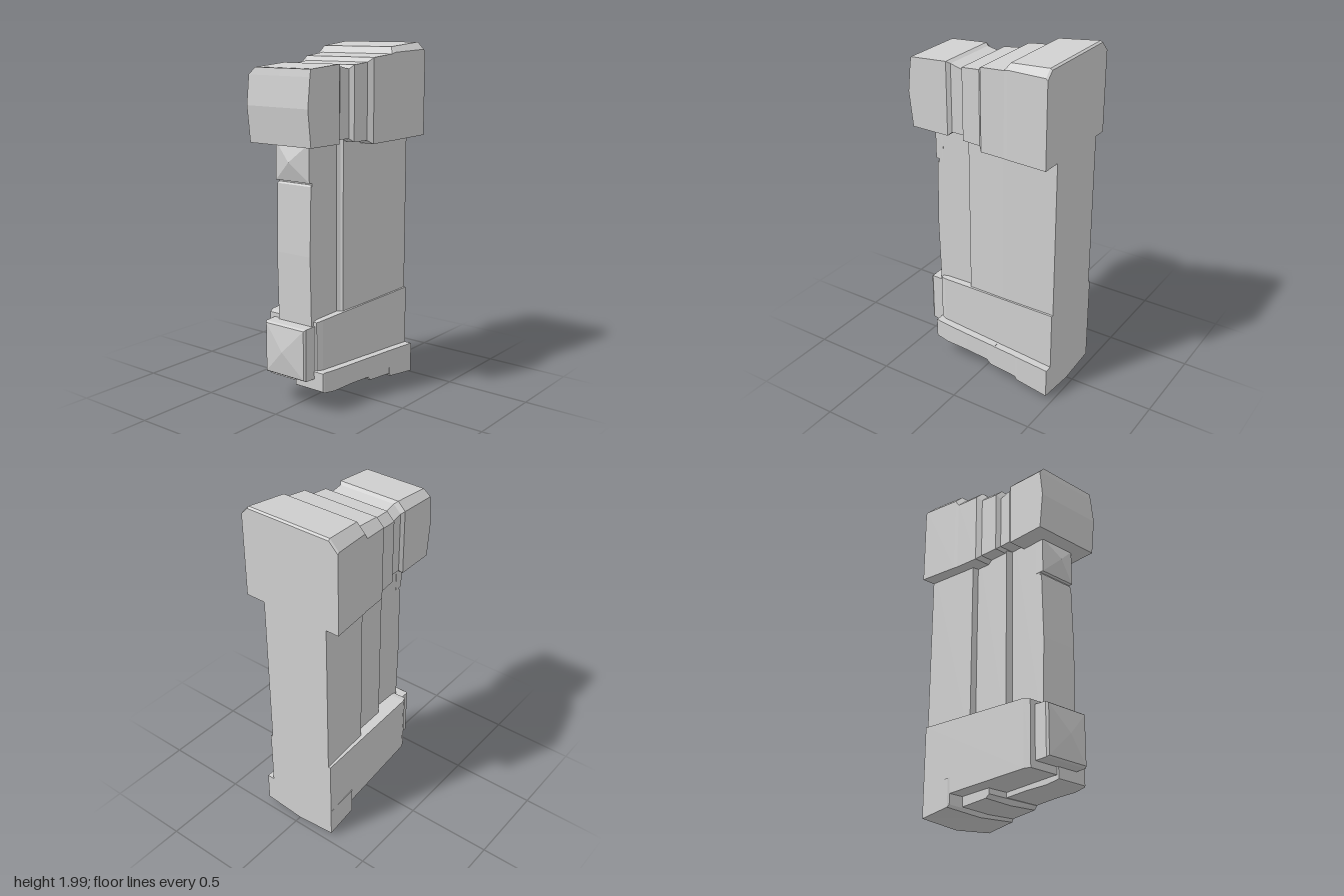
import * as THREE from 'three';

const stone = new THREE.MeshStandardMaterial({ color: 0xd0d0d0 });
stone.name = 'stone grey';

// Cross-section facing +z: a box with chamfered top corners and a bottom that sags in the middle.
function ring([z, x0, x1, y0, y1, cl = 0, cr = 0, sag = 0]) {
  return [
    [x0, y0], [(x0 + x1) / 2, y0 - sag], [x1, y0], [x1, y1 - cr],
    [x1 - cr, y1], [x0 + cl, y1], [x0, y1 - cl],
  ].map(([x, y]) => new THREE.Vector3(x, y, z));
}

// Joins sections from back to front; the front cap may rise to a shallow point.
function block(name, sections, bulge = 0) {
  const rings = sections.map(ring);
  const out = [];
  const tri = (a, b, c) => {
    const area = b.clone().sub(a).cross(c.clone().sub(a)).length();
    if (area > 1e-8) for (const p of [a, b, c]) out.push(p.x, p.y, p.z);
  };
  const middle = ([z, x0, x1, y0, y1], dz) =>
    new THREE.Vector3((x0 + x1) / 2, (y0 + y1) / 2, z + dz);
  const n = rings[0].length, last = rings.length - 1;
  const backMid = middle(sections[0], 0), frontMid = middle(sections[last], bulge);
  for (let i = 0; i < n; i++) {
    const j = (i + 1) % n;
    for (let k = 0; k < last; k++) {
      const a = rings[k], b = rings[k + 1];
      tri(a[i], a[j], b[j]);
      tri(a[i], b[j], b[i]);
    }
    tri(backMid, rings[0][j], rings[0][i]);
    tri(frontMid, rings[last][i], rings[last][j]);
  }
  const geo = new THREE.BufferGeometry();
  geo.setAttribute('position', new THREE.Float32BufferAttribute(out, 3));
  geo.computeVertexNormals();
  const mesh = new THREE.Mesh(geo, stone);
  mesh.name = name;
  return mesh;
}

// Same, but stacked upwards. Columns: y, x0, x1, zBack, zFront
function stack(name, levels) {
  const mesh = block(name, levels.map(([y, x0, x1, zb, zf]) => [y, x0, x1, -zf, -zb]));
  mesh.geometry.rotateX(-Math.PI / 2);
  return mesh;
}

export function createModel() {
  const model = new THREE.Group();
  model.name = 'stoneBracket';

  // Stepped capital, widening towards the wall. Columns: z, x0, x1, y0, y1, chamfers
  model.add(block('capital', [
    [-0.462, -0.305, 0.305, 1.475, 1.992, 0.055, 0.042],
    [-0.45, -0.303, 0.303, 1.475, 2.0, 0.055, 0.04],
    [-0.215, -0.275, 0.273, 1.465, 1.978, 0.05, 0.03],
    [-0.19, -0.27, 0.268, 1.464, 1.94, 0.05, 0],
    [-0.04, -0.258, 0.255, 1.46, 1.925, 0.045, 0],
    [-0.015, -0.235, 0.23, 1.48, 1.9, 0.045, 0],
    [0.095, -0.225, 0.225, 1.482, 1.89, 0.045, 0],
    [0.11, -0.2, 0.2, 1.5, 1.868, 0.045, 0],
    [0.185, -0.2, 0.197, 1.5, 1.885, 0.045, 0],
    [0.205, -0.214, 0.212, 1.48, 1.897, 0.045, 0],
    [0.425, -0.21, 0.208, 1.48, 1.88, 0.04, 0],
  ]));

  // Front face of the capital, folded along its middle
  model.add(stack('capitalFace', [
    [1.48, -0.21, 0.208, 0.4, 0.438],
    [1.68, -0.21, 0.208, 0.4, 0.461],
    [1.84, -0.21, 0.208, 0.4, 0.443],
    [1.879, -0.171, 0.207, 0.4, 0.436],
  ]));

  // Deep shaft, stepping in towards the front
  model.add(block('shaft', [
    [-0.462, -0.226, 0.187, 0.4, 1.6],
    [-0.13, -0.198, 0.174, 0.4, 1.6],
    [-0.125, -0.162, 0.174, 0.4, 1.6],
    [0.105, -0.15, 0.16, 0.4, 1.6],
    [0.11, -0.108, 0.145, 0.4, 1.6],
    [0.125, -0.107, 0.13, 0.4, 1.6],
    [0.33, -0.106, 0.127, 0.4, 1.6],
  ]));

  // Front strip, bent slightly outwards at mid-height
  model.add(stack('frontStrip', [
    [0.45, -0.106, 0.127, 0.3, 0.341],
    [0.88, -0.106, 0.127, 0.3, 0.351],
    [1.26, -0.106, 0.127, 0.3, 0.341],
    [1.27, -0.1, 0.12, 0.3, 0.334],
  ]));

  // Pointed studs above and below the strip
  model.add(block('upperStud', [
    [0.3, -0.108, 0.128, 1.28, 1.49],
    [0.352, -0.106, 0.125, 1.28, 1.49],
  ], 0.034));
  model.add(block('lowerStud', [
    [0.25, -0.155, 0.14, 0.19, 0.495],
    [0.4, -0.15, 0.136, 0.195, 0.49],
    [0.412, -0.14, 0.127, 0.203, 0.482],
  ], 0.025));

  // Sloping base around the foot of the shaft
  model.add(block('base', [
    [-0.462, -0.24, 0.2, 0.12, 0.55],
    [0.29, -0.2, 0.166, 0.15, 0.523],
    [0.325, -0.185, 0.15, 0.15, 0.515],
  ]));

  // Broken footing, stepping up towards the front
  model.add(block('rearFooting', [
    [-0.462, -0.24, 0.245, 0.03, 0.205, 0, 0, 0.024],
    [-0.26, -0.235, 0.237, 0.055, 0.215, 0, 0, 0.015],
    [-0.25, -0.228, 0.236, 0.07, 0.215, 0, 0, 0.01],
  ]));
  model.add(block('middleFooting', [
    [-0.3, -0.14, 0.236, 0.068, 0.213, 0, 0, 0.008],
    [-0.07, -0.13, 0.227, 0.085, 0.222, 0, 0, 0.008],
    [-0.05, -0.125, 0.226, 0.105, 0.223],
  ]));
  model.add(block('frontFooting', [
    [-0.1, 0, 0.228, 0.105, 0.222],
    [0.1, 0, 0.22, 0.115, 0.23],
    [0.25, 0, 0.213, 0.115, 0.237],
    [0.325, 0, 0.205, 0.125, 0.24],
    [0.333, 0.005, 0.2, 0.13, 0.235],
  ]));

  return model;
}
